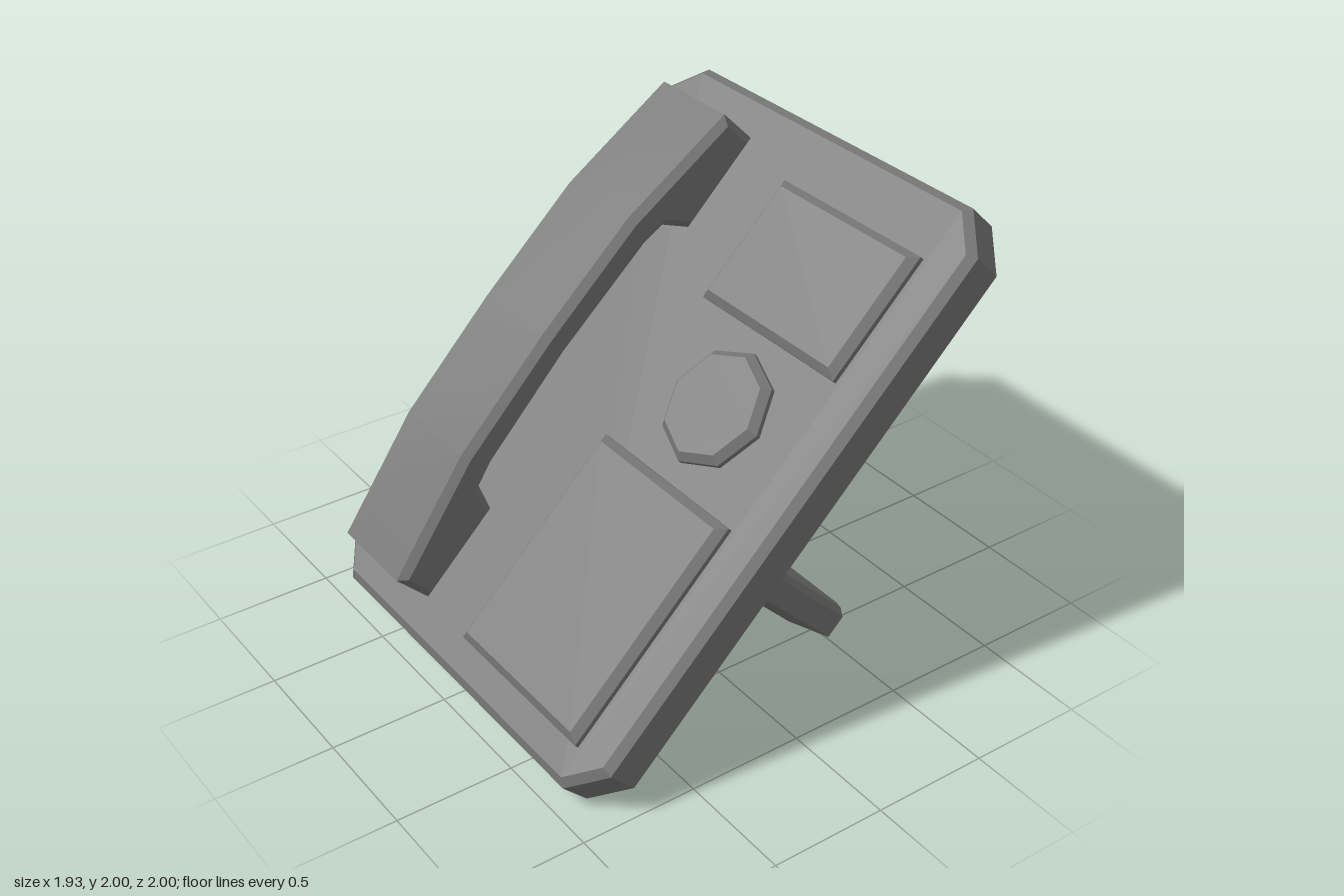
import * as THREE from 'three';
import { toCreasedNormals } from 'three/addons/utils/BufferGeometryUtils.js';

const material = new THREE.MeshStandardMaterial({ color: 0x767676 });

// Rectangle outline with cut corners, shrunk evenly by an inset
const cutRect = (halfW, halfH, cut) => (inset) => {
  const w = halfW - inset, h = halfH - inset;
  const c = Math.max(cut - inset * (2 - Math.SQRT2), 0);
  if (cut === 0) return [[w, -h], [w, h], [-w, h], [-w, -h]];
  return [
    [w - c, -h], [w, -h + c], [w, h - c], [w - c, h],
    [-w + c, h], [-w, h - c], [-w, -h + c], [-w + c, -h],
  ];
};

// Regular polygon outline
const polygon = (radius, sides) => (inset) =>
  Array.from({ length: sides }, (_, i) => {
    const a = (i / sides) * Math.PI * 2;
    return [(radius - inset) * Math.cos(a), (radius - inset) * Math.sin(a)];
  });

// Flat-shaded solid from stacked outlines; layers are [inset, z] from back to front
function bevelledPlate(name, outline, layers) {
  const rings = layers.map(([inset, z]) => outline(inset).map(([x, y]) => [x, y, z]));
  const pos = [];
  const tri = (a, b, c) => pos.push(...a, ...b, ...c);
  const n = rings[0].length, back = rings[0], front = rings[rings.length - 1];
  for (let i = 0; i < rings.length - 1; i++) {
    for (let j = 0; j < n; j++) {
      const k = (j + 1) % n, lo = rings[i], hi = rings[i + 1];
      tri(lo[j], lo[k], hi[k]);
      tri(lo[j], hi[k], hi[j]);
    }
  }
  for (let j = 1; j < n - 1; j++) {
    tri(front[0], front[j], front[j + 1]);
    tri(back[0], back[j + 1], back[j]);
  }
  const geometry = new THREE.BufferGeometry();
  geometry.setAttribute('position', new THREE.Float32BufferAttribute(pos, 3));
  geometry.computeVertexNormals();
  const mesh = new THREE.Mesh(geometry, material);
  mesh.name = name;
  return mesh;
}

// Handset: bowed side profile mirrored end to end, extruded across its width
function makeHandset() {
  const mid = 0.707, bevel = 0.032;
  // [distance from the middle, height]: outer back, then foot and grip hollow
  const half = [
    [0.572, 1.085], [1.141, 0.98], [1.141, 0.785],
    [0.7, 0.785], [0.642, 0.912], [0.535, 0.936],
  ];
  const points = [
    [0, 1.1], ...half, [0, 0.957],
    ...half.map(([d, h]) => [-d, h]).reverse(),
  ].map(([d, h]) => new THREE.Vector2(-h, mid + d));
  const geometry = new THREE.ExtrudeGeometry(new THREE.Shape(points), {
    depth: 0.41, bevelEnabled: true, bevelSegments: 1,
    bevelThickness: 0.03, bevelSize: bevel, bevelOffset: -bevel,
  });
  const mesh = new THREE.Mesh(toCreasedNormals(geometry, 0.5), material);
  mesh.name = 'handset';
  mesh.rotation.y = Math.PI / 2;
  mesh.position.x = -0.745;
  return mesh;
}

export function createModel() {
  const model = new THREE.Group();
  model.name = 'deskTelephone';

  // Everything is laid out upright, then leaned back 45 degrees
  const body = new THREE.Group();
  body.name = 'tiltedBody';
  body.rotation.x = -Math.PI / 4;
  model.add(body);

  // Base slab, with a deep chamfer behind and a thin one in front
  const base = bevelledPlate('baseSlab', cutRect(0.965, 1.314, 0.155),
    [[0.2, 0.535], [0, 0.607], [0, 0.755], [0.033, 0.785]]);
  base.position.y = 0.707;
  body.add(base);

  // Raised parts on the face
  const raised = [[0, 0.77], [0, 0.805], [0.032, 0.836]];
  const screen = bevelledPlate('screenPanel', cutRect(0.4, 0.28, 0), raised);
  screen.position.set(0.38, 1.483, 0);
  const keypad = bevelledPlate('keypadPanel', cutRect(0.4, 0.493, 0), raised);
  keypad.position.set(0.38, 0.044, 0);
  const dial = bevelledPlate('roundButton', polygon(0.251, 8), raised);
  dial.position.set(0.38, 0.876, 0);
  body.add(screen, keypad, dial, makeHandset());

  // Rear stand, square to the slab
  const stand = bevelledPlate('rearStand', cutRect(0.672, 0.566, 0.13),
    [[0.16, 0.325], [0, 0.37], [0, 0.471], [0.027, 0.497]]);
  stand.rotation.x = -Math.PI / 2;
  stand.position.z = 0.2;
  body.add(stand);

  return model;
}
